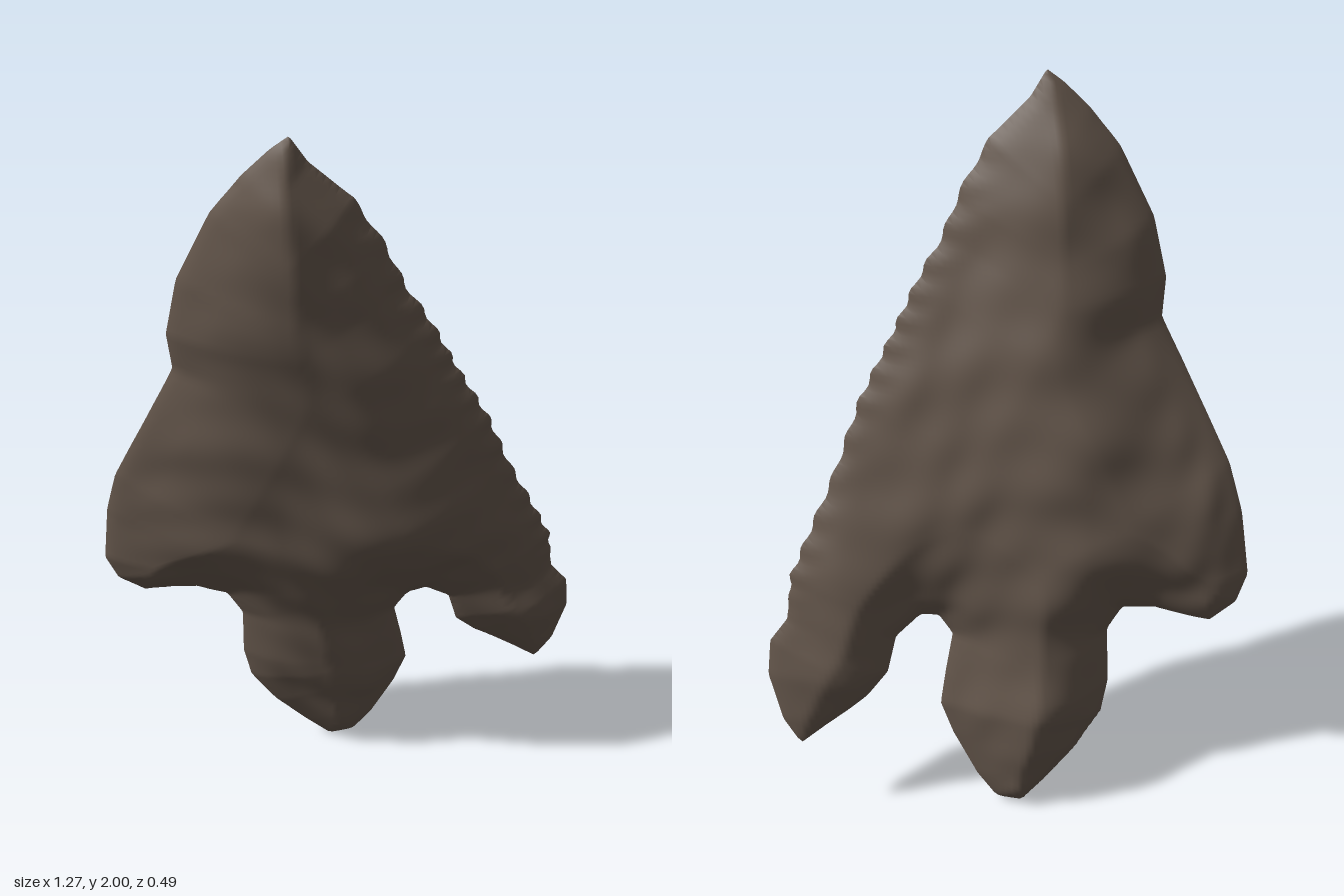
import * as THREE from 'three';
import { mergeVertices } from 'three/addons/utils/BufferGeometryUtils.js';

// Silhouette, clockwise from the tip: right blade edge, long barb, stem, short barb, left edge
const outline = [
  [-.16, 2], [-.12, 1.94], [-.02, 1.85], [.06, 1.72], [.1, 1.63], [.17, 1.52], [.25, 1.37], [.33, 1.23],
  [.41, 1.05], [.5, .88], [.55, .78], [.57, .66], [.62, .6], [.635, .5], [.61, .36], [.57, .28],
  [.5, .33], [.38, .41], [.32, .47], [.29, .57], [.22, .62], [.17, .61], [.135, .55], [.16, .44],
  [.18, .34], [.15, .24], [.09, .1], [.04, .02], [-.03, 0], [-.1, .07], [-.19, .17], [-.26, .28],
  [-.28, .38], [-.28, .54], [-.32, .61], [-.4, .62], [-.54, .59], [-.61, .64], [-.64, .72], [-.62, .9],
  [-.59, 1.03], [-.54, 1.15], [-.48, 1.29], [-.43, 1.4], [-.44, 1.5], [-.41, 1.65], [-.33, 1.82],
  [-.26, 1.91], [-.2, 1.97],
];

const { smoothstep, lerp } = THREE.MathUtils;

// Signed distance to the silhouette, positive inside
function inset(x, y) {
  let best = Infinity, inside = false;
  for (let i = 0, j = outline.length - 1; i < outline.length; j = i++) {
    const [ax, ay] = outline[j], [bx, by] = outline[i];
    const ex = bx - ax, ey = by - ay;
    const t = THREE.MathUtils.clamp(((x - ax) * ex + (y - ay) * ey) / (ex * ex + ey * ey), 0, 1);
    best = Math.min(best, Math.hypot(x - ax - ex * t, y - ay - ey * t));
    if ((ay > y) !== (by > y) && x < ax + ex * (y - ay) / ey) inside = !inside;
  }
  return inside ? best : -best;
}

// Inset with fine teeth that fade out a short way in from the right blade edge
function field(x, y) {
  const d = inset(x, y);
  const blade = smoothstep(x - lerp(.7, -.4, y / 2), -.05, .1) * smoothstep(y, .65, .8) * (1 - smoothstep(y, 1.75, 1.9));
  return d + .005 * blade * (1 - smoothstep(d, 0, .07)) * (Math.sin(y * 80 + 2 * Math.sin(y * 9)) - .2);
}

// Tilted middle surface, with both barbs bent backwards
function middle(x, y) {
  const left = .07 * smoothstep(-x, .2, .55) * (1 - smoothstep(y, .85, 1.4));
  const right = .05 * smoothstep(x, .12, .45) * (1 - smoothstep(y, .7, 1.4));
  return -.167 + .129 * x + .183 * y - left - right;
}

// Shallow overlapping flake scars
function scars(x, y, side) {
  const a = Math.sin(13 * x + 7 * y + side) * Math.sin(11 * y - 5 * x + 2 * side);
  const b = Math.sin(29 * y + 17 * x + 2 * Math.sin(9 * x + side)) * Math.sin(16 * x - 9 * y);
  return .007 * a + .004 * b;
}

const hump = (x, y, cx, cy, r) => Math.exp(-((x - cx) ** 2 + (y - cy) ** 2) / (r * r));

// Front swells above the stem; back is thickest left of the centre line
function fullness(x, y, side) {
  if (side > 0) return lerp(.1, .135, smoothstep(y, .4, .9)) + .04 * hump(x, y, .03, .92, .15);
  return .08 + .09 * hump(x, 0, -.18, 0, .25) * (1 - .5 * smoothstep(y, 1.1, 1.6));
}

function height(x, y, d, side) {
  const u = Math.min(Math.max(d, 0) / .3, 1);
  const lens = .7 * (1 - (1 - u) ** 2) + .3 * Math.sqrt(u);
  return middle(x, y) + side * (fullness(x, y, side) * lens + scars(x, y, side) * smoothstep(d, 0, .1));
}

// Grid triangles clipped to the silhouette
function outlineTriangles(step) {
  const nx = Math.ceil(1.36 / step), ny = Math.ceil(2.08 / step);
  const points = [];
  for (let j = 0; j <= ny; j++) {
    for (let i = 0; i <= nx; i++) {
      const x = -.68 + i * step, y = -.04 + j * step;
      points.push([x, y, field(x, y)]);
    }
  }
  const cut = (p, q) => {
    if (p[2] < q[2]) [p, q] = [q, p];
    const t = p[2] / (p[2] - q[2]);
    return [lerp(p[0], q[0], t), lerp(p[1], q[1], t), 0];
  };
  const triangles = [];
  const clip = (tri) => {
    const poly = [];
    tri.forEach((p, k) => {
      const q = tri[(k + 1) % 3];
      if (p[2] >= 0) poly.push(p);
      if ((p[2] >= 0) !== (q[2] >= 0)) poly.push(cut(p, q));
    });
    for (let k = 2; k < poly.length; k++) triangles.push([poly[0], poly[k - 1], poly[k]]);
  };
  for (let j = 0; j < ny; j++) {
    for (let i = 0; i < nx; i++) {
      const k = j * (nx + 1) + i;
      const a = points[k], b = points[k + 1], c = points[k + nx + 2], d = points[k + nx + 1];
      clip([a, b, c]);
      clip([a, c, d]);
    }
  }
  return triangles;
}

// One flaked face; the back reverses the corner order
function faceGeometry(triangles, side) {
  const positions = [];
  for (const [a, b, c] of triangles) {
    for (const [x, y, d] of side > 0 ? [a, b, c] : [a, c, b]) positions.push(x, y, height(x, y, d, side));
  }
  const geometry = new THREE.BufferGeometry();
  geometry.setAttribute('position', new THREE.Float32BufferAttribute(positions, 3));
  const merged = mergeVertices(geometry, 1e-5);
  merged.computeVertexNormals();
  return merged;
}

export function createModel() {
  const group = new THREE.Group();
  group.name = 'arrowhead';
  const stone = new THREE.MeshStandardMaterial({ color: 0x65574c });
  const triangles = outlineTriangles(.014);
  for (const [name, side] of [['frontFace', 1], ['backFace', -1]]) {
    const mesh = new THREE.Mesh(faceGeometry(triangles, side), stone);
    mesh.name = name;
    group.add(mesh);
  }
  return group;
}
